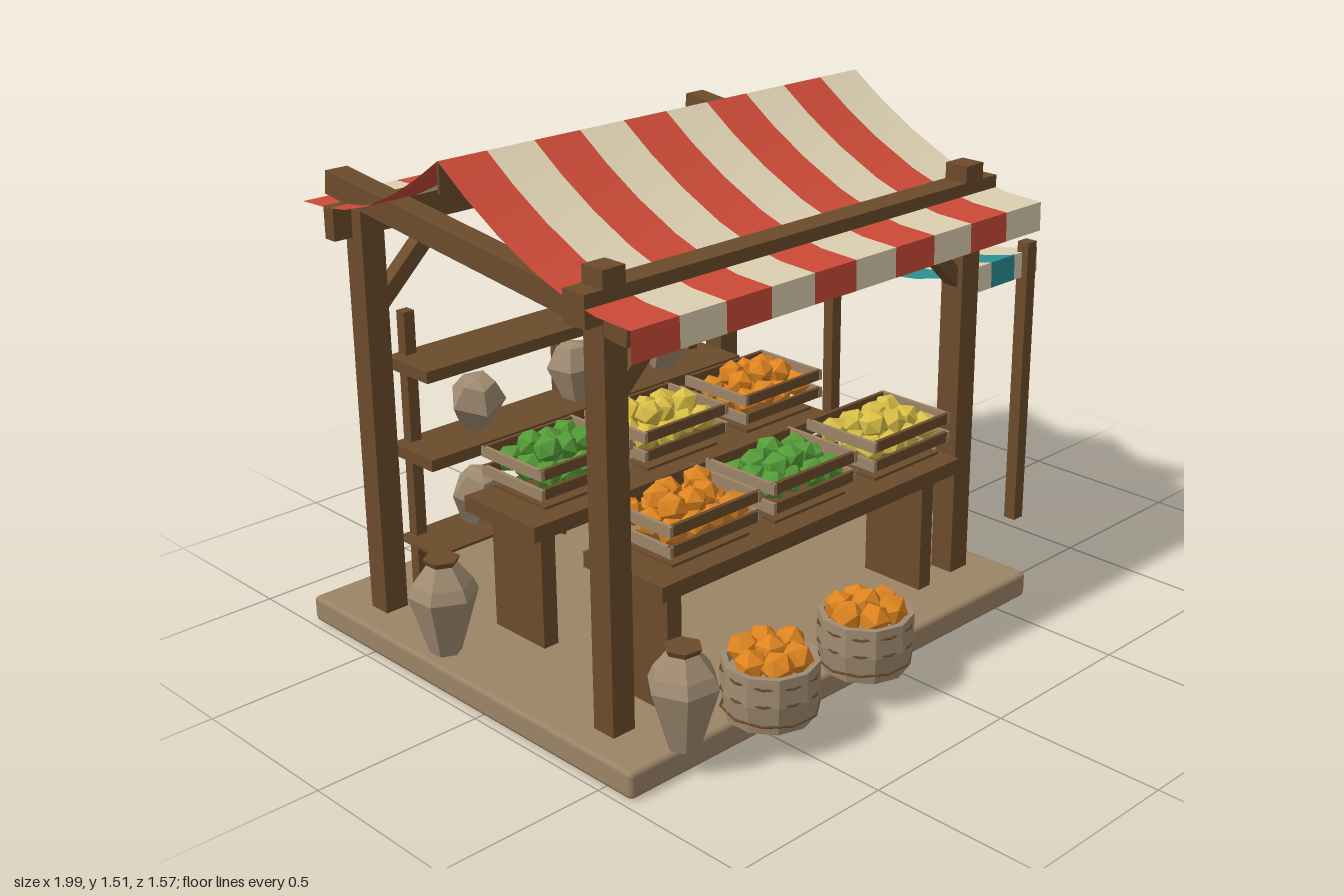
import * as THREE from 'three';
import { RoundedBoxGeometry } from 'three/addons/geometries/RoundedBoxGeometry.js';

const mat = (name, color, side = THREE.FrontSide) => {
  const m = new THREE.MeshStandardMaterial({ color, side });
  m.name = name;
  return m;
};

export function createModel() {
  const D = THREE.DoubleSide;
  const wood = mat('darkWood', 0x6b4b2b), tan = mat('paleWood', 0x9c8467);
  const red = mat('redCloth', 0xcc4a37, D), cream = mat('creamCloth', 0xddd0b1, D), teal = mat('tealCloth', 0x2b9092, D);
  const orange = mat('orangeFruit', 0xde8420), green = mat('greenFruit', 0x549c38), yellow = mat('yellowFruit', 0xd9bf45);
  const clay = mat('sackcloth', 0xa08b71, D);

  const root = new THREE.Group();
  root.name = 'marketStall';
  let seed = 7;
  const rnd = () => (seed = (seed * 16807) % 2147483647) / 2147483647;
  const jit = (a) => (rnd() - 0.5) * 2 * a;

  const add = (name, geo, m, x = 0, y = 0, z = 0, parent = root) => {
    const mesh = new THREE.Mesh(geo, m);
    mesh.name = name;
    mesh.position.set(x, y, z);
    parent.add(mesh);
    return mesh;
  };
  // box from its extents on each axis
  const box = (name, m, x0, x1, y0, y1, z0, z1, parent = root) =>
    add(name, new THREE.BoxGeometry(x1 - x0, y1 - y0, z1 - z0), m, (x0 + x1) / 2, (y0 + y1) / 2, (z0 + z1) / 2, parent);
  const flat = (g) => {
    const f = g.index ? g.toNonIndexed() : g;
    f.computeVertexNormals();
    return f;
  };
  const lathe = (pts, n) => flat(new THREE.LatheGeometry(pts.map((p) => new THREE.Vector2(...p)), n));

  // striped cloth: a (z, y) profile running front to back, swept along x
  const cloth = (name, profile, x0, x1, colours, n) => {
    const g = new THREE.Group();
    g.name = name;
    const w = (x1 - x0) / n;
    for (let s = 0; s < n; s++) {
      const pos = [], idx = [];
      profile.forEach(([z, y], i) => {
        pos.push(x0 + s * w, y, z, x0 + (s + 1) * w, y, z);
        if (i) {
          const a = 2 * i - 2;
          idx.push(a, a + 1, a + 3, a, a + 3, a + 2);
        }
      });
      const geo = new THREE.BufferGeometry();
      geo.setAttribute('position', new THREE.Float32BufferAttribute(pos, 3));
      geo.setIndex(idx);
      geo.computeVertexNormals();
      add('stripe', geo, colours[s % 2], 0, 0, 0, g);
    }
    root.add(g);
  };

  // floor
  add('floor', new RoundedBoxGeometry(1.61, 0.078, 1.39, 1, 0.014), tan, -0.173, 0.047, -0.095);

  // main frame: posts, braces and sloping side beams
  for (const [px, s] of [[-0.855, 1], [0.505, -1]]) {
    box('frontPost', wood, px - 0.037, px + 0.037, 0.08, 1.345, 0.365, 0.44);
    box('backPost', wood, px - 0.037, px + 0.037, 0.08, 1.29, -0.615, -0.543);
    for (const z of [0.4, -0.58])
      add('brace', new THREE.BoxGeometry(0.29, 0.045, 0.045), wood, px + s * 0.118, 1.095, z).rotation.z = s * 0.76;
    add('sideBeam', new THREE.BoxGeometry(0.072, 0.067, 1.232), wood, px, 1.273, -0.09).rotation.x = 0.114;
  }
  box('frontBeam', wood, -0.95, 0.605, 1.21, 1.297, 0.36, 0.44);
  box('backBeam', wood, -0.95, 0.605, 1.21, 1.302, -0.628, -0.585);
  box('ridgeBoard', wood, -0.95, 0.605, 1.435, 1.515, -0.109, -0.101);

  // main awning with its front valance
  const stripes = [red, cream];
  cloth('frontAwning', [[0.6, 1.248], [0.48, 1.253], [0.38, 1.272], [0.26, 1.312], [0.12, 1.378], [0, 1.448], [-0.105, 1.52]], -0.95, 0.605, stripes, 10);
  cloth('backAwning', [[-0.105, 1.52], [-0.2, 1.456], [-0.3, 1.398], [-0.42, 1.342], [-0.53, 1.31], [-0.62, 1.299], [-0.725, 1.296]], -0.95, 0.605, stripes, 10);
  cloth('awningValance', [[0.602, 1.165], [0.6, 1.248]], -0.95, 0.605, stripes, 10);

  // small side canopy on two posts
  cloth('sideCanopy', [[0.308, 0.968], [0.2, 0.943], [0.08, 0.929], [-0.05, 0.926], [-0.18, 0.942], [-0.32, 0.982], [-0.49, 1.05]], 0.55, 1, [teal, cream], 4);
  cloth('canopyValance', [[0.31, 0.888], [0.308, 0.968]], 0.55, 1, [teal, cream], 4);
  for (const z of [0.31, -0.488]) box('canopyPost', wood, 0.925, 0.967, 0.075, 1, z - 0.02, z + 0.02);

  // fruit
  const fruitGeo = flat(new THREE.IcosahedronGeometry(0.043, 0));
  const fruit = (m, x, y, z, parent, scale = 1) => {
    const f = add('fruit', fruitGeo, m, x, y, z, parent);
    f.rotation.set(rnd() * 6, rnd() * 6, rnd() * 6);
    f.scale.setScalar(scale);
  };

  // slatted crate filled with fruit
  const crate = (x, z, m) => {
    const g = new THREE.Group();
    g.name = 'fruitCrate';
    g.position.set(x, 0, z);
    box('crateFloor', wood, -0.14, 0.14, 0.506, 0.514, -0.11, 0.11, g);
    for (const y of [0.545, 0.602])
      for (const s of [-1, 1]) {
        box('longSlat', wood, -0.165, 0.165, y, y + 0.031, s * 0.122 - 0.006, s * 0.122 + 0.006, g);
        box('endSlat', tan, s * 0.16 - 0.006, s * 0.16 + 0.006, y, y + 0.031, -0.13, 0.13, g);
      }
    for (let i = 0; i < 4; i++)
      for (let j = 0; j < 3; j++)
        fruit(m, -0.11 + i * 0.073 + jit(0.008), 0.588 + jit(0.012), -0.075 + j * 0.075 + jit(0.006), g);
    for (let i = 0; i < 3; i++)
      for (let j = 0; j < 2; j++)
        fruit(m, -0.07 + i * 0.07 + jit(0.015), 0.634 + jit(0.012), -0.035 + j * 0.07 + jit(0.012), g);
    root.add(g);
  };

  // two counters, each with three crates
  const counters = [[0.343, [orange, green, yellow]], [-0.162, [green, yellow, orange]]];
  for (const [z, fruits] of counters) {
    box('counterTop', wood, -0.765, 0.418, 0.445, 0.49, z - 0.152, z + 0.152);
    for (const x of [-0.682, 0.335]) box('counterLeg', wood, x - 0.025, x + 0.025, 0.08, 0.445, z - 0.106, z + 0.106);
    fruits.forEach((m, i) => crate([-0.55, -0.172, 0.232][i], z, m));
  }

  // back shelving
  for (const [y0, y1] of [[0.264, 0.272], [0.532, 0.567], [0.797, 0.832]])
    box('shelf', wood, -0.785, 0.44, y0, y1, -0.62, -0.43);
  for (const x of [-0.727, 0.377]) box('shelfPost', wood, x - 0.018, x + 0.018, 0.08, 0.96, -0.615, -0.58);
  box('shelfMiddlePost', wood, -0.182, -0.172, 0.08, 0.96, -0.625, -0.59);

  // small sacks on the shelves
  const sackGeo = lathe([[0, -0.095], [0.042, -0.085], [0.085, 0.02], [0.05, 0.085], [0, 0.095]], 5);
  for (const y of [0.36, 0.65])
    for (const x of [-0.55, -0.165, 0.205])
      add('shelfSack', sackGeo, clay, x + jit(0.01), y, -0.525).rotation.set(jit(0.3), rnd() * 6, jit(0.35));

  // tall stoppered sacks standing on the ground
  const tallGeo = lathe([[0, 0.08], [0.045, 0.085], [0.1, 0.265], [0.085, 0.3], [0.042, 0.355], [0, 0.357]], 6);
  const capGeo = flat(new THREE.CylinderGeometry(0.052, 0.045, 0.016, 6));
  for (const [x, z, r] of [[-0.785, 0.59, 0.4], [-0.905, -0.245, 1.1], [0.785, 0.07, 0.1]]) {
    const g = new THREE.Group();
    g.name = 'tallSack';
    add('sackBody', tallGeo, clay, 0, 0, 0, g);
    add('stopper', capGeo, wood, 0, 0.363, 0, g);
    g.position.set(x, 0, z);
    g.rotation.y = r;
    root.add(g);
  }

  // round baskets of oranges at the front
  const basketGeo = lathe([[0, 0.1], [0.122, 0.1], [0.134, 0.18], [0.132, 0.262], [0.115, 0.262], [0.11, 0.235], [0, 0.235]], 10);
  for (const x of [-0.527, -0.155]) {
    const g = new THREE.Group();
    g.name = 'basket';
    g.position.set(x, 0, 0.645);
    add('basketBody', basketGeo, clay, 0, 0, 0, g);
    for (const y of [0.125, 0.18, 0.235]) {
      const hoop = add('hoop', new THREE.TorusGeometry(0.131, 0.004, 4, 10), wood, 0, y, 0, g);
      hoop.rotation.set(Math.PI / 2 + jit(0.04), jit(0.04), 0);
    }
    for (let i = 0; i < 7; i++) {
      const a = (i * Math.PI * 2) / 6, r = i < 6 ? 0.072 : 0;
      fruit(orange, Math.cos(a) * r, 0.268 + jit(0.012) + (i < 6 ? 0 : 0.014), Math.sin(a) * r, g, 1.08);
    }
    root.add(g);
  }

  return root;
}
